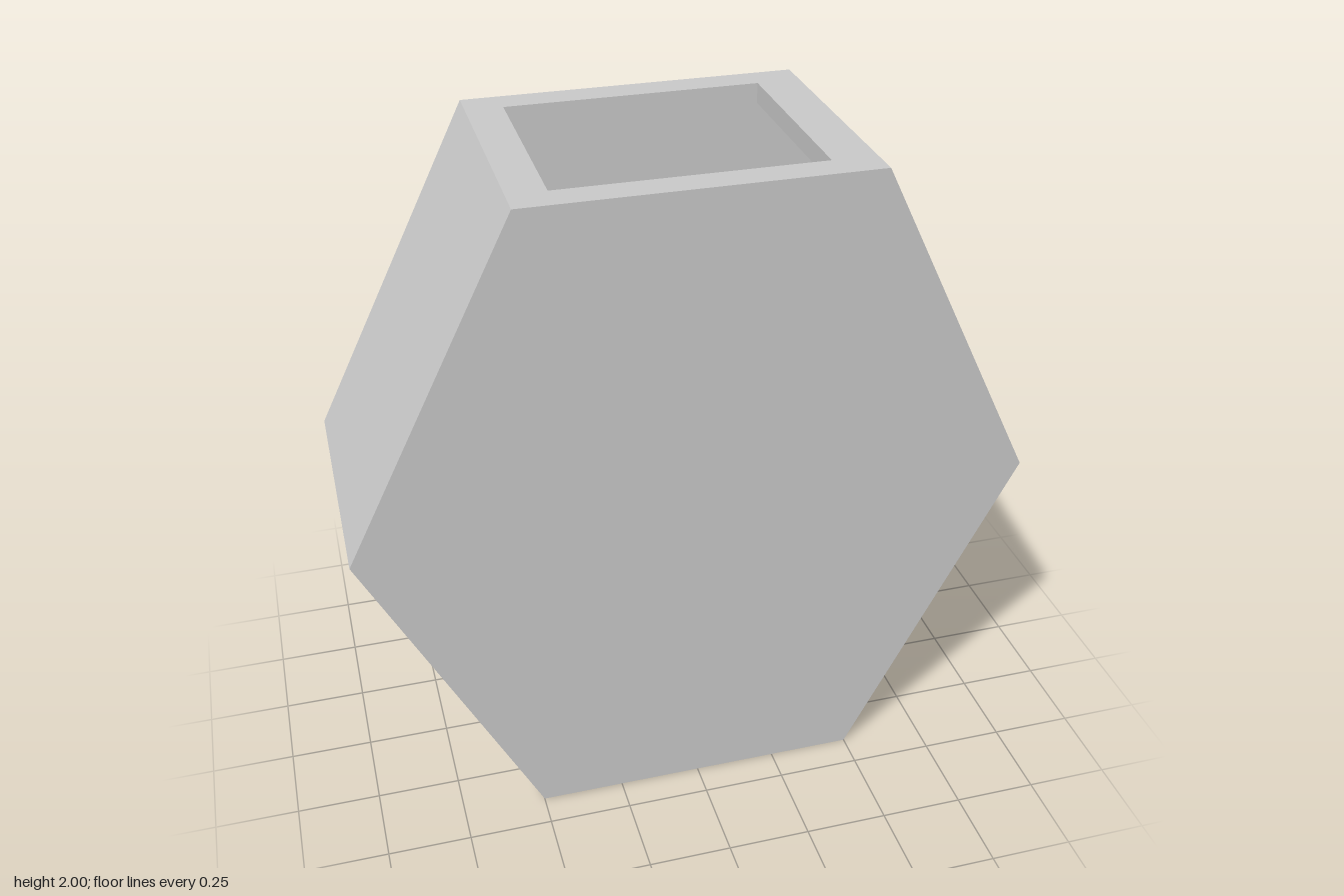
import * as THREE from 'three';

const material = new THREE.MeshStandardMaterial({ color: 0xcccccc, flatShading: true });
const PLATE = 0.09; // thickness of each face plate
const INNER = 0.31; // half depth of the hollow between the plates

// Flat-topped hexagon around y = 1, reaching `s` in both x and y
const hexagon = (s) => [
  [s / 2, 1 + s], [s, 1], [s / 2, 1 - s],
  [-s / 2, 1 - s], [-s, 1], [-s / 2, 1 + s],
];

function prism(name, points, z, depth) {
  const shape = new THREE.Shape(points.map(([x, y]) => new THREE.Vector2(x, y)));
  const geometry = new THREE.ExtrudeGeometry(shape, { depth, bevelEnabled: false });
  geometry.translate(0, 0, z);
  const mesh = new THREE.Mesh(geometry, material);
  mesh.name = name;
  return mesh;
}

// Bent rim wall on one side, with lips that end at the top and bottom openings
function rimPoints(side, openingX) {
  const outer = hexagon(1).slice(0, 3);
  const inner = hexagon(0.94).slice(0, 3).reverse();
  return [
    [openingX, 2], ...outer, [openingX, 0],
    [openingX, 0.06], ...inner, [openingX, 1.94],
  ].map(([x, y]) => [side * x, y]);
}

export function createModel() {
  const group = new THREE.Group();
  group.name = 'hexagonalHousing';
  group.add(
    // Solid front and back faces
    prism('frontPlate', hexagon(1), INNER, PLATE),
    prism('backPlate', hexagon(1), -INNER - PLATE, PLATE),
    // Side walls, leaving the top and bottom open
    prism('leftRim', rimPoints(1, 0.37), -INNER, 2 * INNER),
    prism('rightRim', rimPoints(-1, 0.39), -INNER, 2 * INNER),
    // Hexagonal hub joining the plates
    prism('core', hexagon(0.295), -INNER, 2 * INNER),
  );
  return group;
}
